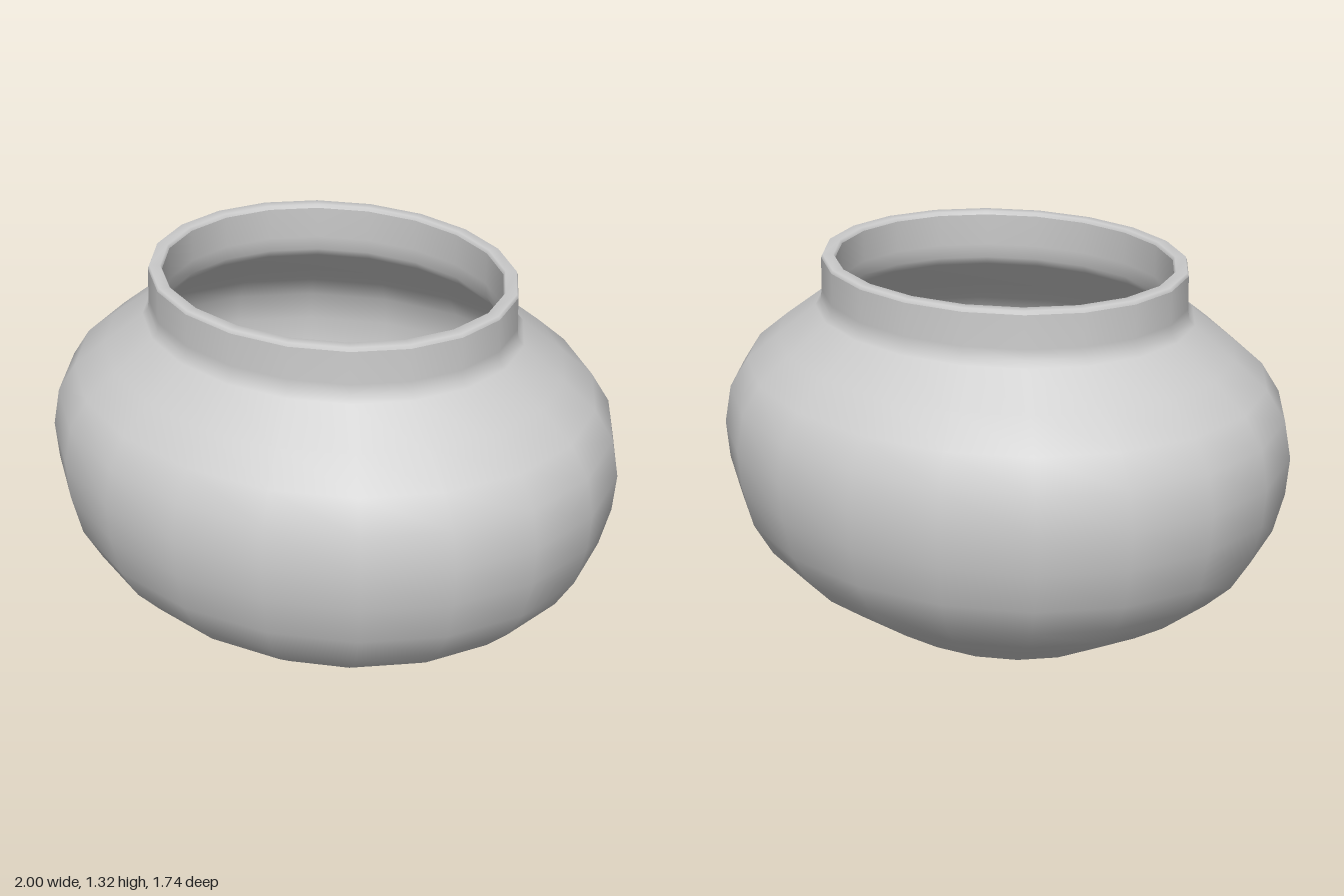
import * as THREE from 'three';

const SIDES = 20;
const DEPTH = 0.87; // the pot is oval: narrower front to back

// Revolve a [radius, height] profile and squash it into an oval
function ovalLathe(name, profile, material) {
  const points = profile.map(([r, y]) => new THREE.Vector2(r, y));
  const geometry = new THREE.LatheGeometry(points, SIDES);
  geometry.scale(1, 1, DEPTH);
  const mesh = new THREE.Mesh(geometry, material);
  mesh.name = name;
  return mesh;
}

export function createModel() {
  const group = new THREE.Group();
  group.name = 'pot';
  const clay = new THREE.MeshStandardMaterial({ color: 0xcccccc, side: THREE.DoubleSide });

  // Base, round belly and shoulder, then the upright neck
  const outer = [
    [0, 0], [0.2, 0.003], [0.36, 0.007], [0.42, 0.015], [0.47, 0.037],
    [0.67, 0.16], [0.8, 0.25], [0.89, 0.34], [0.955, 0.45], [0.99, 0.59],
    [1, 0.72], [0.975, 0.85], [0.91, 0.95], [0.8, 1.04], [0.66, 1.145],
    [0.64, 1.165], [0.636, 1.2], [0.633, 1.31],
  ];

  // Narrow flat rim with softened edges
  const rim = [[0.633, 1.31], [0.628, 1.322], [0.59, 1.322], [0.584, 1.31]];

  // Hollow inside, following the outer wall down to a rounded floor
  const inner = [
    [0.584, 1.31], [0.585, 1.2], [0.59, 1.15], [0.61, 1.12], [0.76, 1.0],
    [0.865, 0.915], [0.925, 0.83], [0.948, 0.72], [0.94, 0.6], [0.905, 0.47],
    [0.845, 0.37], [0.76, 0.285], [0.64, 0.2], [0.44, 0.08], [0.36, 0.058], [0, 0.05],
  ];

  group.add(
    ovalLathe('outerWall', outer, clay),
    ovalLathe('rim', rim, clay),
    ovalLathe('innerWall', inner, clay),
  );
  return group;
}
